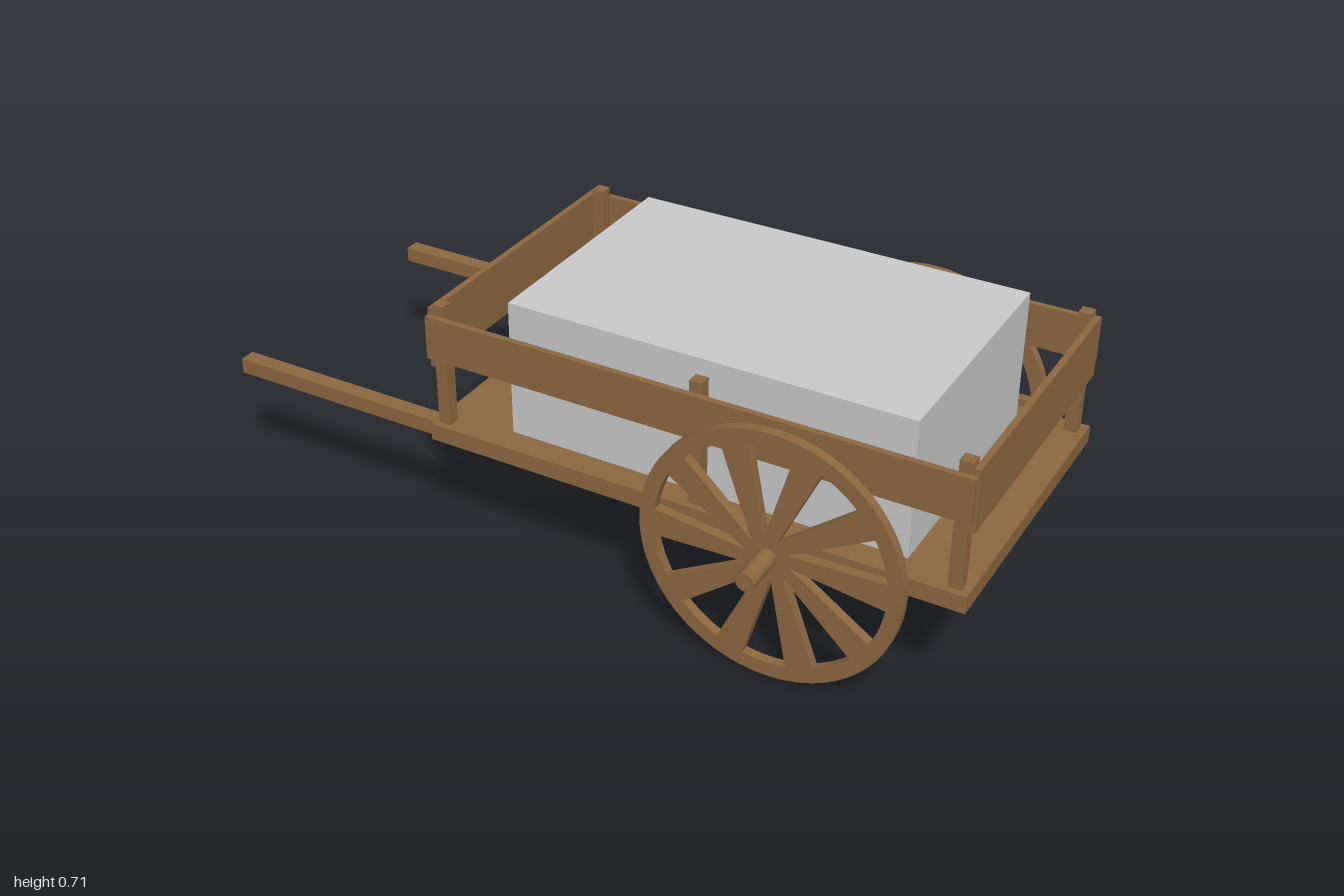
import * as THREE from 'three';

const wood = new THREE.MeshStandardMaterial({ color: 0x8d6941 });
const grey = new THREE.MeshStandardMaterial({ color: 0xcccccc });

// Box given by its min and max along each axis
function box(name, [x0, x1], [y0, y1], [z0, z1], material = wood) {
  const mesh = new THREE.Mesh(new THREE.BoxGeometry(x1 - x0, y1 - y0, z1 - z0), material);
  mesh.position.set((x0 + x1) / 2, (y0 + y1) / 2, (z0 + z1) / 2);
  mesh.name = name;
  return mesh;
}

// Disc wheel with wedge-shaped windows that leave tapering spokes
function wheelGeometry(radius, thickness) {
  const shape = new THREE.Shape().absarc(0, 0, radius, 0, Math.PI * 2, false);
  const count = 10, half = THREE.MathUtils.degToRad(11), inner = 0.055, outer = 0.29;
  for (let i = 0; i < count; i++) {
    const a = Math.PI / 2 + (i * Math.PI * 2) / count;
    const hole = new THREE.Path();
    hole.moveTo(Math.cos(a - half) * inner, Math.sin(a - half) * inner);
    hole.absarc(0, 0, outer, a - half, a + half, false);
    hole.lineTo(Math.cos(a + half) * inner, Math.sin(a + half) * inner);
    hole.closePath();
    shape.holes.push(hole);
  }
  const geometry = new THREE.ExtrudeGeometry(shape, { depth: thickness, bevelEnabled: false, curveSegments: 32 });
  return geometry.translate(0, 0, -thickness / 2);
}

export function createModel() {
  const cart = new THREE.Group();
  cart.name = 'handcart';

  // Floor and load
  cart.add(box('floor', [-0.395, 1], [0.315, 0.36], [-0.395, 0.395]));
  cart.add(box('load', [-0.2, 0.835], [0.36, 0.715], [-0.327, 0.327], grey));

  // End boards
  cart.add(box('frontEndBoard', [-0.397, -0.381], [0.513, 0.672], [-0.376, 0.376]));
  cart.add(box('rearEndBoard', [0.981, 0.997], [0.513, 0.672], [-0.376, 0.376]));

  // Axle through the floor
  const axle = new THREE.Mesh(new THREE.CylinderGeometry(0.0235, 0.0235, 1.11, 32), wood);
  axle.rotation.x = Math.PI / 2;
  axle.position.set(0.55, 0.335, 0);
  axle.name = 'axle';
  cart.add(axle);

  // Parts repeated on both sides
  const wheelShape = wheelGeometry(0.328, 0.025);
  for (const [side, s] of [['near', 1], ['far', -1]]) {
    const span = (a, b) => (s > 0 ? [a, b] : [-b, -a]);
    cart.add(box(side + 'SideBoard', [-0.393, 0.993], [0.545, 0.658], span(0.379, 0.395)));
    cart.add(box(side + 'Shaft', [-1, -0.395], [0.318, 0.358], span(0.339, 0.381)));
    for (const x of [-0.365, 0.327, 0.965]) {
      cart.add(box(side + 'Post', [x - 0.016, x + 0.016], [0.36, 0.686], span(0.347, 0.379)));
    }
    const wheel = new THREE.Mesh(wheelShape, wood);
    wheel.position.set(0.55, 0.33, s * 0.434);
    wheel.name = side + 'Wheel';
    cart.add(wheel);
  }
  return cart;
}
